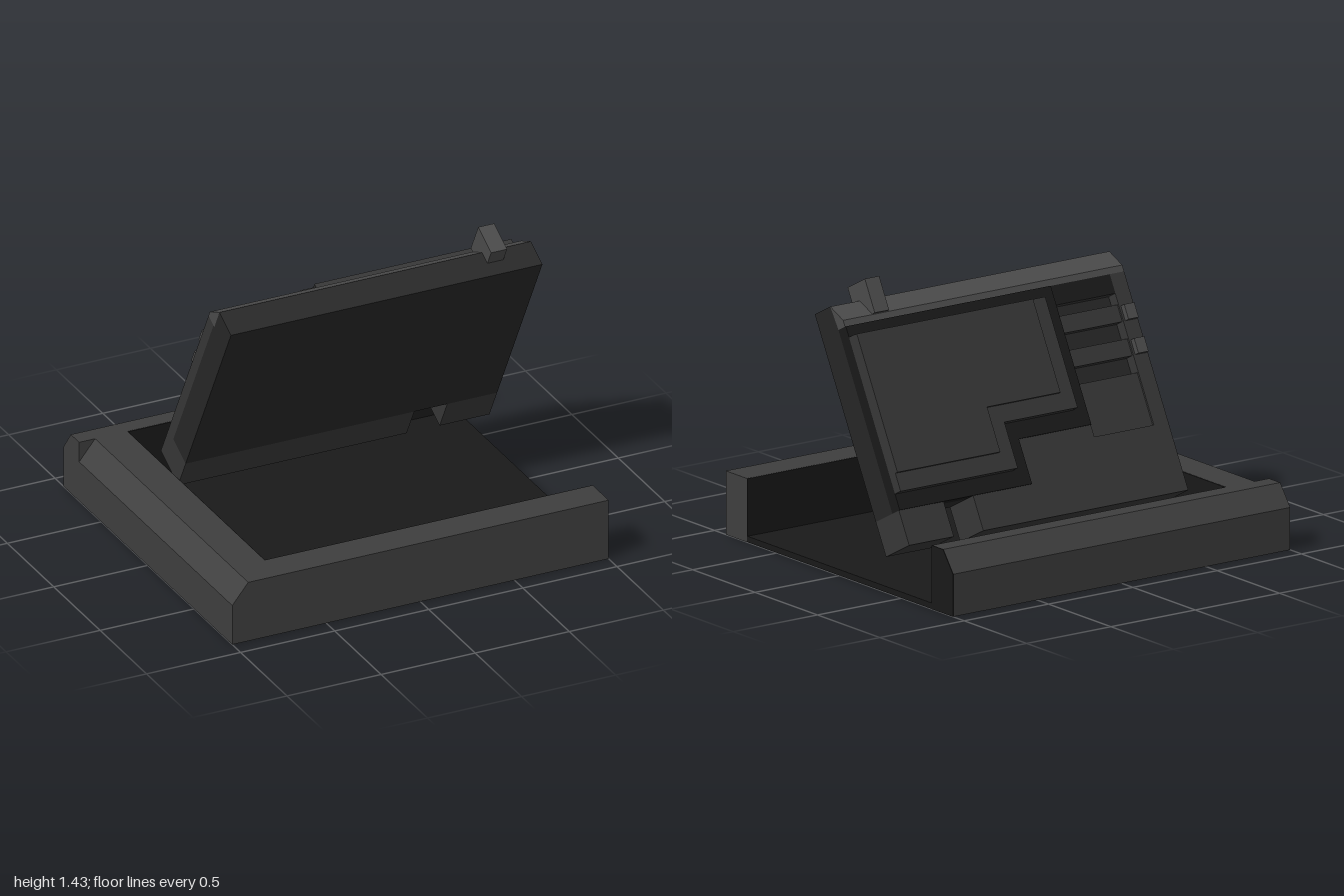
import * as THREE from 'three';

const mat = (color) => new THREE.MeshStandardMaterial({ color, flatShading: true });
const FRAME = mat(0x3e3e3e), DARK = mat(0x191919), LID = mat(0x262626), PLATE = mat(0x363636), METAL = mat(0x4a4a4a);

function add(parent, name, geometry, material) {
  const mesh = new THREE.Mesh(geometry, material);
  mesh.name = name;
  parent.add(mesh);
  return mesh;
}

// Box given by its limits on each axis
function box(parent, name, [x0, x1], [y0, y1], [z0, z1], material) {
  const g = new THREE.BoxGeometry(x1 - x0, y1 - y0, z1 - z0);
  g.translate((x0 + x1) / 2, (y0 + y1) / 2, (z0 + z1) / 2);
  return add(parent, name, g, material);
}

const shapeOf = (pts) => new THREE.Shape(pts.map(([a, b]) => new THREE.Vector2(a, b)));

// Profile in (-z, y) extruded along x
function profileX(parent, name, pts, x0, x1, material) {
  const g = new THREE.ExtrudeGeometry(shapeOf(pts), { depth: x1 - x0, bevelEnabled: false });
  g.rotateY(Math.PI / 2).translate(x0, 0, 0);
  return add(parent, name, g, material);
}

// Outline in (x, y) extruded backwards from depth v0 to v1
function panel(parent, name, pts, v0, v1, material, hole) {
  const s = shapeOf(pts);
  if (hole) s.holes.push(shapeOf(hole));
  const g = new THREE.ExtrudeGeometry(s, { depth: v1 - v0, bevelEnabled: false });
  g.translate(0, 0, -v1);
  return add(parent, name, g, material);
}

const rect = (x0, x1, y0, y1) => [[x0, y0], [x1, y0], [x1, y1], [x0, y1]];

function createBase() {
  const base = new THREE.Group();
  base.name = 'base';
  const H = 0.315;
  box(base, 'frontRail', [-0.745, 1], [0, H], [0.74, 0.91], FRAME);

  // Back rail with chamfered outer edge and a dark end cap
  const back = [[0.74, 0], [0.91, 0], [0.91, 0.21], [0.83, H], [0.74, H]];
  profileX(base, 'backRail', back, -1, 0.995, FRAME);
  profileX(base, 'backRailEnd', back, 0.995, 1, DARK);

  // Side rail, chamfered on its outer edge
  const side = [[-1, 0], [-0.745, 0], [-0.745, H], [-0.915, H], [-1, 0.21]];
  panel(base, 'sideRail', side, -0.91, 0.74, FRAME);

  // Dark lining of the tray
  box(base, 'floor', [-0.745, 1], [0.001, 0.03], [-0.74, 0.74], DARK);
  box(base, 'sideLining', [-0.745, -0.741], [0.03, H - 0.001], [-0.74, 0.74], DARK);
  for (const s of [-1, 1]) {
    const z = [s * 0.736, s * 0.74].sort((a, b) => a - b);
    box(base, s > 0 ? 'frontLining' : 'backLining', [-0.741, 0.999], [0.03, H - 0.001], z, DARK);
  }
  return base;
}

// Stepped outline shared by the layered panels on the lid
const stepped = (xLeft, xStep, yLow, yStep, yTop) =>
  [[xStep, yLow], [1, yLow], [1, yTop], [xLeft, yTop], [xLeft, yStep], [xStep, yStep]];

function createLid() {
  const lid = new THREE.Group();
  lid.name = 'lid';
  const L = -0.655;

  // Core slab, chamfered top strip and hinge feet
  profileX(lid, 'lidCore', [[0, 0.175], [0.15, 0.175], [0.15, 1.1], [0.14, 1.215], [0, 1.215]], L, 1, LID);
  profileX(lid, 'topStrip', [[0.14, 1.095], [0.21, 1.095], [0.21, 1.127], [0.14, 1.215]], L, 1, METAL);
  box(lid, 'wideFoot', [L, 0.56], [0, 0.175], [-0.21, 0], PLATE);
  box(lid, 'hingeFoot', [0.735, 1], [0, 0.175], [-0.21, 0], PLATE);

  // Back plate with a recess holding the bars
  panel(lid, 'backPlate', [[L, 0.175], [0.215, 0.175], [0.215, 0.4], [-0.215, 0.4], [-0.215, 1], [-0.57, 1], [-0.57, 1.095], [L, 1.095]],
    0.15, 0.21, PLATE, rect(-0.569, -0.216, 0.34, 0.999));
  box(lid, 'recessBlock', [-0.57, -0.215], [0.34, 0.605], [-0.2, -0.15], PLATE);
  for (const y of [0.69, 0.86]) {
    box(lid, 'recessBar', [-0.57, -0.215], [y, y + 0.085], [-0.2, -0.15], PLATE);
    box(lid, 'barKnob', [-0.64, -0.58], [y, y + 0.075], [-0.24, -0.2], METAL);
  }

  // Layered stepped panels
  panel(lid, 'panelBorder', stepped(-0.215, 0.215, 0.175, 0.4, 1.095), 0.15, 0.217, DARK);
  box(lid, 'topBand', [-0.57, -0.215], [1, 1.095], [-0.21, -0.15], DARK);
  panel(lid, 'lowerPanel', stepped(-0.13, 0.305, 0.255, 0.485, 1.04), 0.21, 0.268, PLATE);
  panel(lid, 'upperPanel', stepped(-0.045, 0.39, 0.345, 0.57, 1.038), 0.26, 0.287, PLATE);

  box(lid, 'latch', [0.74, 0.825], [1.13, 1.3], [-0.231, -0.074], METAL);

  lid.position.set(0, 0.176, -0.374);
  lid.rotation.x = THREE.MathUtils.degToRad(28);
  return lid;
}

export function createModel() {
  const model = new THREE.Group();
  model.name = 'hatch';
  model.add(createBase(), createLid());
  return model;
}
